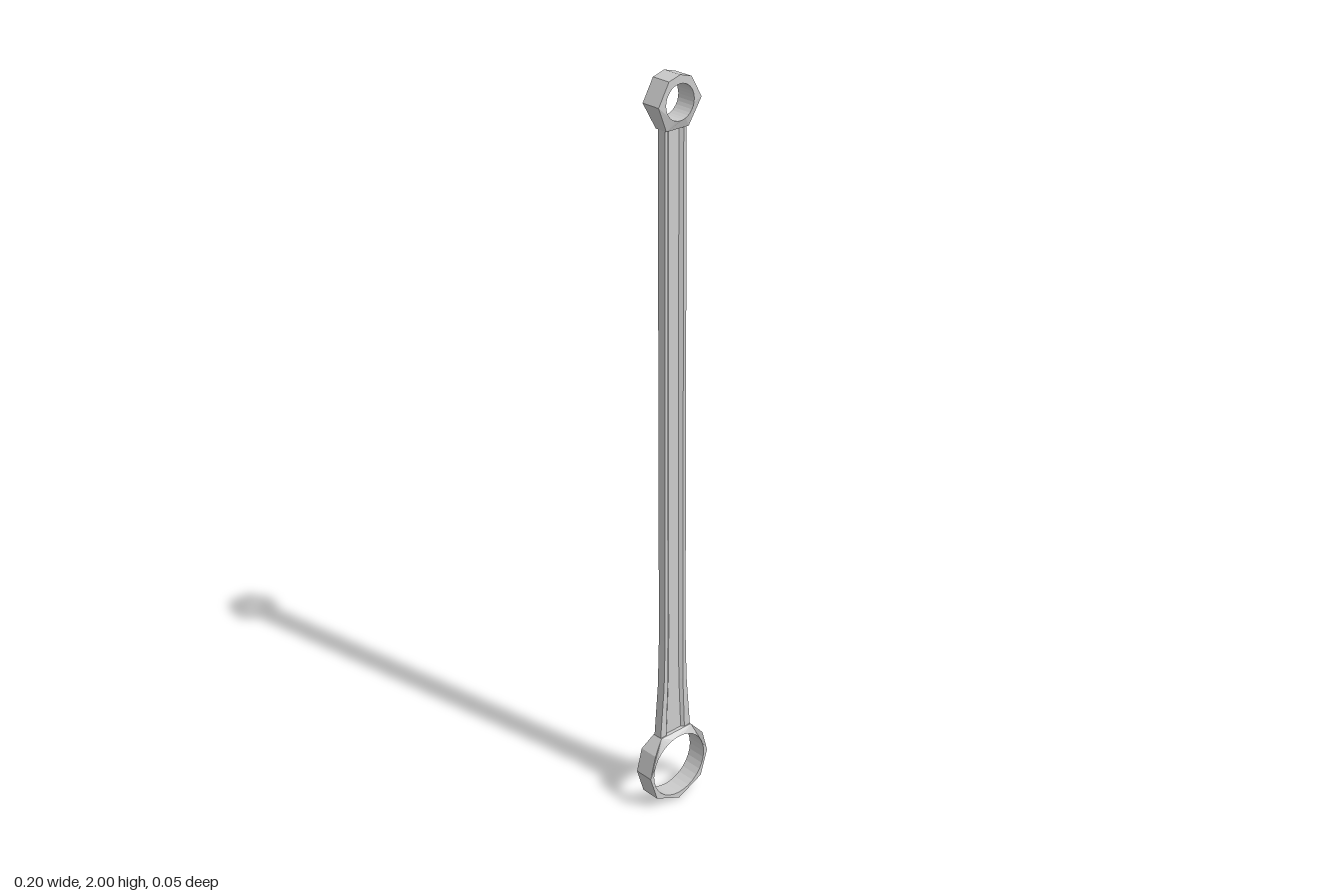
import * as THREE from 'three';

const material = new THREE.MeshStandardMaterial({ color: 0xcccccc, flatShading: true });
const HALF_DEPTH = 0.027;

// Faceted ring: half outline mirrored in x, round hole, thinned where it meets the beam
function makeRing(name, half, centreY, holeRadius, isShoulder, shoulderDepth) {
  const right = half.map(([x, y]) => new THREE.Vector2(x, y));
  const left = half.filter(([x]) => x > 0).reverse().map(([x, y]) => new THREE.Vector2(-x, y));
  const shape = new THREE.Shape([...right, ...left]);
  const hole = new THREE.Path();
  hole.absarc(0, centreY, holeRadius, 0, Math.PI * 2, true);
  shape.holes.push(hole);
  const geometry = new THREE.ExtrudeGeometry(shape, {
    depth: HALF_DEPTH * 2, bevelEnabled: false, curveSegments: 16,
  });
  geometry.translate(0, 0, -HALF_DEPTH);
  const pos = geometry.attributes.position;
  for (let i = 0; i < pos.count; i++) {
    const outer = Math.hypot(pos.getX(i), pos.getY(i) - centreY) > holeRadius + 0.005;
    if (outer && isShoulder(pos.getY(i))) pos.setZ(i, Math.sign(pos.getZ(i)) * shoulderDepth);
  }
  geometry.computeVertexNormals();
  const mesh = new THREE.Mesh(geometry, material);
  mesh.name = name;
  return mesh;
}

// I-section beam with a sloped-wall channel on both faces
function makeBeam() {
  // height, half width, channel rim half width, channel floor half width
  const stations = [
    [0.203, 0.053, 0.033, 0.026],
    [0.36, 0.04, 0.027, 0.019],
    [0.5, 0.036, 0.026, 0.017],
    [1.882, 0.034, 0.025, 0.016],
  ];
  const t = 0.012, c = 0.005;
  const positions = [], index = [];
  for (const [y, w, a, b] of stations) {
    const section = [
      [w, -t], [w, t], [a, t], [b, c], [-b, c], [-a, t],
      [-w, t], [-w, -t], [-a, -t], [-b, -c], [b, -c], [a, -t],
    ];
    for (const [x, z] of section) positions.push(x, y, z);
  }
  const n = 12;
  for (let s = 0; s < stations.length - 1; s++) {
    for (let k = 0; k < n; k++) {
      const i = s * n + k, j = s * n + (k + 1) % n;
      index.push(i, i + n, j, j, i + n, j + n);
    }
  }
  const geometry = new THREE.BufferGeometry();
  geometry.setAttribute('position', new THREE.Float32BufferAttribute(positions, 3));
  geometry.setIndex(index);
  const flat = geometry.toNonIndexed();
  flat.computeVertexNormals();
  const mesh = new THREE.Mesh(flat, material);
  mesh.name = 'beam';
  return mesh;
}

export function createModel() {
  const group = new THREE.Group();
  group.name = 'connectingRod';
  group.add(makeBeam());

  // Large lower eye
  group.add(makeRing('bigEnd',
    [[0, 0], [0.08, 0.036], [0.1025, 0.108], [0.085, 0.172], [0.053, 0.208]],
    0.108, 0.09, (y) => y > 0.2, 0.015));

  // Small upper eye
  group.add(makeRing('smallEnd',
    [[0.035, 1.87], [0.067, 1.935], [0.035, 1.99], [0, 2]],
    1.935, 0.044, (y) => y < 1.88, 0.018));

  return group;
}
